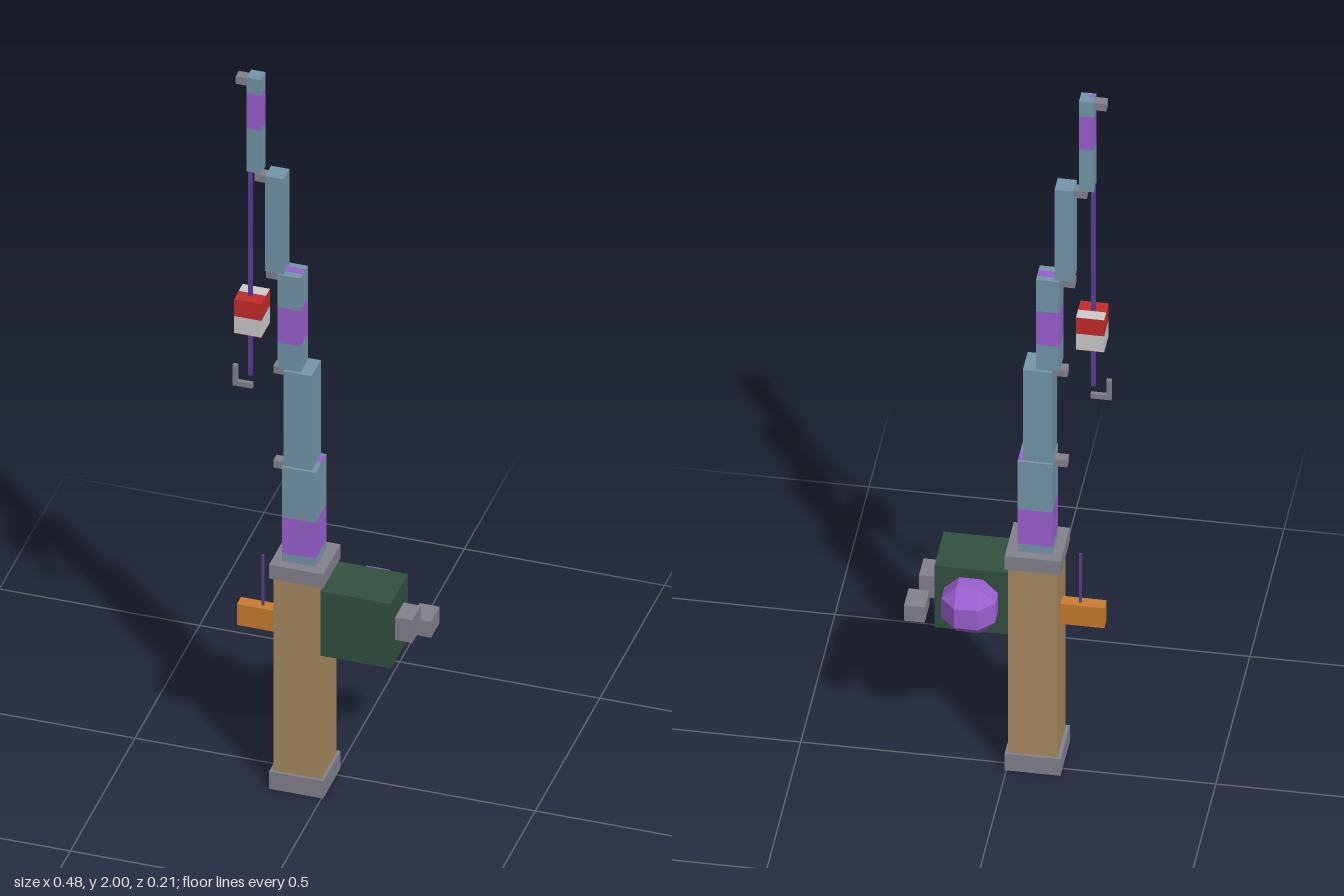
import * as THREE from 'three';
import { ConvexGeometry } from 'three/addons/geometries/ConvexGeometry.js';

const makeMaterial = (name, color) => {
  const m = new THREE.MeshStandardMaterial({ color });
  m.name = name;
  return m;
};

export function createModel() {
  const model = new THREE.Group();
  model.name = 'fishingRod';
  const tan = makeMaterial('tan', 0xa88a60);
  const blue = makeMaterial('blue', 0x7496a9);
  const purple = makeMaterial('purple', 0x9b5fd0);
  const grey = makeMaterial('grey', 0x83818d);
  const green = makeMaterial('green', 0x325040);
  const orange = makeMaterial('orange', 0xca7c2e);
  const red = makeMaterial('red', 0xc42b2b);
  const white = makeMaterial('white', 0xcbcbcb);
  const violet = makeMaterial('violet', 0x5c3c94);

  // Box given by its limits on each axis
  const box = (name, material, [x0, x1], [y0, y1], [z0, z1]) => {
    const mesh = new THREE.Mesh(new THREE.BoxGeometry(x1 - x0, y1 - y0, z1 - z0), material);
    mesh.position.set((x0 + x1) / 2, (y0 + y1) / 2, (z0 + z1) / 2);
    mesh.name = name;
    model.add(mesh);
    return mesh;
  };

  // Handle with a collar at each end
  box('handle', tan, [-0.122, -0.003], [0.05, 0.605], [-0.022, 0.098]);
  box('bottomCollar', grey, [-0.131, 0.004], [0, 0.05], [-0.029, 0.105]);
  box('topCollar', grey, [-0.131, 0.004], [0.605, 0.645], [-0.029, 0.105]);
  box('trigger', orange, [-0.228, -0.122], [0.418, 0.478], [0.022, 0.054]);

  // Reel and crank
  box('reel', green, [-0.003, 0.173], [0.41, 0.595], [-0.029, 0.105]);
  box('crankArm', grey, [0.173, 0.216], [0.47, 0.535], [0.005, 0.071]);
  box('crankGrip', grey, [0.191, 0.241], [0.447, 0.493], [-0.063, 0.004]);

  // Faceted gem on the back of the reel
  const points = [];
  const a = 0.0285, b = 0.065;
  for (const sx of [-1, 1]) for (const sy of [-1, 1]) {
    for (const z of [-0.029, -0.07]) {
      points.push(new THREE.Vector3(sx * b, sy * a, z), new THREE.Vector3(sx * a, sy * b, z));
    }
    points.push(new THREE.Vector3(sx * a, sy * a, -0.107));
  }
  const gem = new THREE.Mesh(new ConvexGeometry(points), purple);
  gem.position.set(0.085, 0.503, 0);
  gem.name = 'reelGem';
  model.add(gem);

  // Stepped rod: centre x, width, bottom, top, optional band
  const zc = 0.038;
  const segments = [
    [-0.065, 0.084, 0.645, 0.915, [0.668, 0.771]],
    [-0.07, 0.071, 0.915, 1.187, null],
    [-0.0935, 0.057, 1.187, 1.457, [1.262, 1.363]],
    [-0.132, 0.046, 1.457, 1.73, null],
    [-0.185, 0.036, 1.73, 2, [1.855, 1.955]],
  ];
  segments.forEach(([x, w, y0, y1, band], i) => {
    const xs = [x - w / 2, x + w / 2], zs = [zc - w / 2, zc + w / 2];
    const n = i + 1;
    if (band) {
      box('rodLower' + n, blue, xs, [y0, band[0]], zs);
      box('rodBand' + n, purple, xs, band, zs);
      box('rodUpper' + n, blue, xs, [band[1], y1], zs);
    } else box('rod' + n, blue, xs, [y0, y1], zs);

    // Line guide on the left-hand edge near the top of each segment
    const gx = [-0.138, -0.138, -0.156, -0.185, -0.232][i];
    box('lineGuide' + n, grey, [gx, xs[0]], [y1 - 0.027, y1 - 0.006], [0.026, 0.051]);
  });

  // Painted strips on the tops of the banded segments
  box('topStrip1', purple, [-0.035, -0.023], [0.914, 0.916], [0.003, 0.035]);
  box('topStrip3', purple, [-0.121, -0.066], [1.456, 1.458], [0.026, 0.047]);
  box('topStrip5', purple, [-0.203, -0.167], [1.998, 2], [0.041, 0.056]);

  // Fishing lines
  box('line', violet, [-0.204, -0.194], [1.135, 1.74], [0.033, 0.043]);
  box('reelLine', violet, [-0.171, -0.165], [0.478, 0.622], [0.035, 0.041]);

  // Float, two-tone with split end faces
  const fx = [-0.231, -0.163], fz = [0, 0.067];
  box('floatTop', red, fx, [1.315, 1.363], fz);
  box('floatBottom', white, fx, [1.267, 1.315], fz);
  box('floatTopPatch', white, fx, [1.363, 1.364], [0, 0.03]);
  box('floatUnderside', red, fx, [1.266, 1.267], fz);

  // Hook
  box('hookShank', grey, [-0.243, -0.231], [1.098, 1.156], [0.033, 0.043]);
  box('hookFoot', grey, [-0.231, -0.193], [1.098, 1.112], [0.033, 0.043]);

  return model;
}
